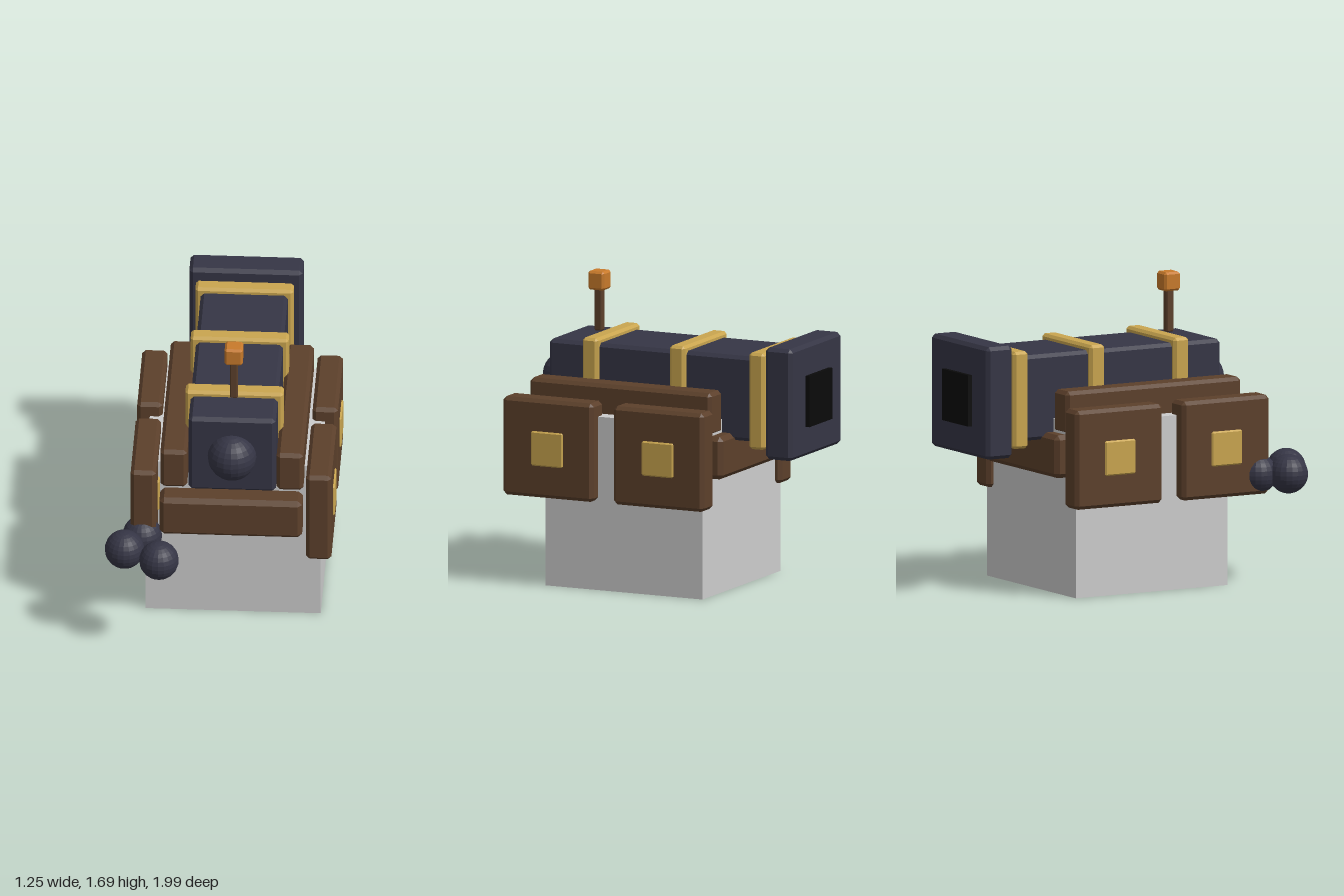
import * as THREE from 'three';
import { ConvexGeometry } from 'three/addons/geometries/ConvexGeometry.js';

function material(name, color) {
  const m = new THREE.MeshStandardMaterial({ color, flatShading: true });
  m.name = name;
  return m;
}

// Box with chamfered edges, given as [min, max] on each axis
function chamferBox(x, y, z, c) {
  const size = [x, y, z].map(([a, b]) => (b - a) / 2);
  const points = [];
  for (const sx of [-1, 1]) for (const sy of [-1, 1]) for (const sz of [-1, 1]) {
    for (let axis = 0; axis < 3; axis++) {
      const [hx, hy, hz] = size.map((h, i) => (i === axis ? h : h - c));
      points.push(new THREE.Vector3(sx * hx, sy * hy, sz * hz));
    }
  }
  const g = new ConvexGeometry(points);
  g.translate((x[0] + x[1]) / 2, (y[0] + y[1]) / 2, (z[0] + z[1]) / 2);
  return g;
}

export function createModel() {
  const iron = material('dark iron', 0x353545);
  const wood = material('brown wood', 0x5c402b);
  const brass = material('brass', 0xc9a54f);
  const ember = material('orange ember', 0xc87a2b);
  const stone = material('grey base', 0xcccccc);
  const black = material('black bore', 0x0a0a0a);

  const group = new THREE.Group();
  const add = (name, geometry, mat) => {
    const mesh = new THREE.Mesh(geometry, mat);
    mesh.name = name;
    group.add(mesh);
    return mesh;
  };
  const box = (name, mat, x, y, z, c = 0.02) => add(name, chamferBox(x, y, z, c), mat);
  const ball = (name, r, x, y, z) =>
    add(name, new THREE.SphereGeometry(r, 20, 14), iron).position.set(x, y, z);
  const cx = 0.06; // centre line of the gun

  // Plain support block
  const base = add('base', new THREE.BoxGeometry(0.965, 0.97, 0.965), stone);
  base.position.set(cx, 0.485, -0.03);

  // Barrel, muzzle and breech knob
  box('barrel', iron, [-0.18, 0.3], [0.855, 1.33], [-0.85, 0.555]);
  box('muzzle', iron, [-0.25, 0.375], [0.78, 1.405], [-0.975, -0.81]);
  const bore = add('bore', new THREE.BoxGeometry(0.285, 0.285, 0.04), black);
  bore.position.set(cx, 1.09, -0.98);
  ball('breechKnob', 0.134, cx, 1.09, 0.56);

  // Brass bands
  for (const z of [0.288, -0.247, -0.735]) {
    box('band', brass, [-0.21, 0.33], [0.82, 1.36], [z - 0.047, z + 0.047], 0.015);
  }

  // Fuse with glowing tip
  box('fuse', wood, [0.038, 0.082], [1.355, 1.6], [0.338, 0.382], 0.006);
  box('fuseTip', ember, [0.01, 0.11], [1.585, 1.69], [0.31, 0.41], 0.012);

  // Carriage: two rails and two cross planks
  for (const s of [-1, 1]) {
    const x = cx + s * 0.32;
    box('rail', wood, [x - 0.074, x + 0.074], [0.895, 1.135], [-0.518, 0.598]);
  }
  for (const z of [-0.511, 0.643]) {
    box('crossPlank', wood, [-0.333, 0.453], [0.657, 0.895], [z - 0.074, z + 0.074], 0.025);
  }

  // Four square wheels, with hubs showing on both faces
  for (const s of [-1, 1]) for (const z of [0.407, -0.272]) {
    const x = cx + s * 0.483;
    box('wheel', wood, [x - 0.07, x + 0.07], [0.5, 1.05], [z - 0.277, z + 0.277]);
    box('hub', brass, [x - 0.08, x + 0.08], [0.678, 0.872], [z - 0.097, z + 0.097], 0.008);
  }

  // Loose cannonballs
  for (const [x, z] of [[-0.52, 0.785], [-0.325, 0.885], [-0.43, 0.64]]) {
    ball('cannonball', 0.109, x, 0.607, z);
  }
  return group;
}
